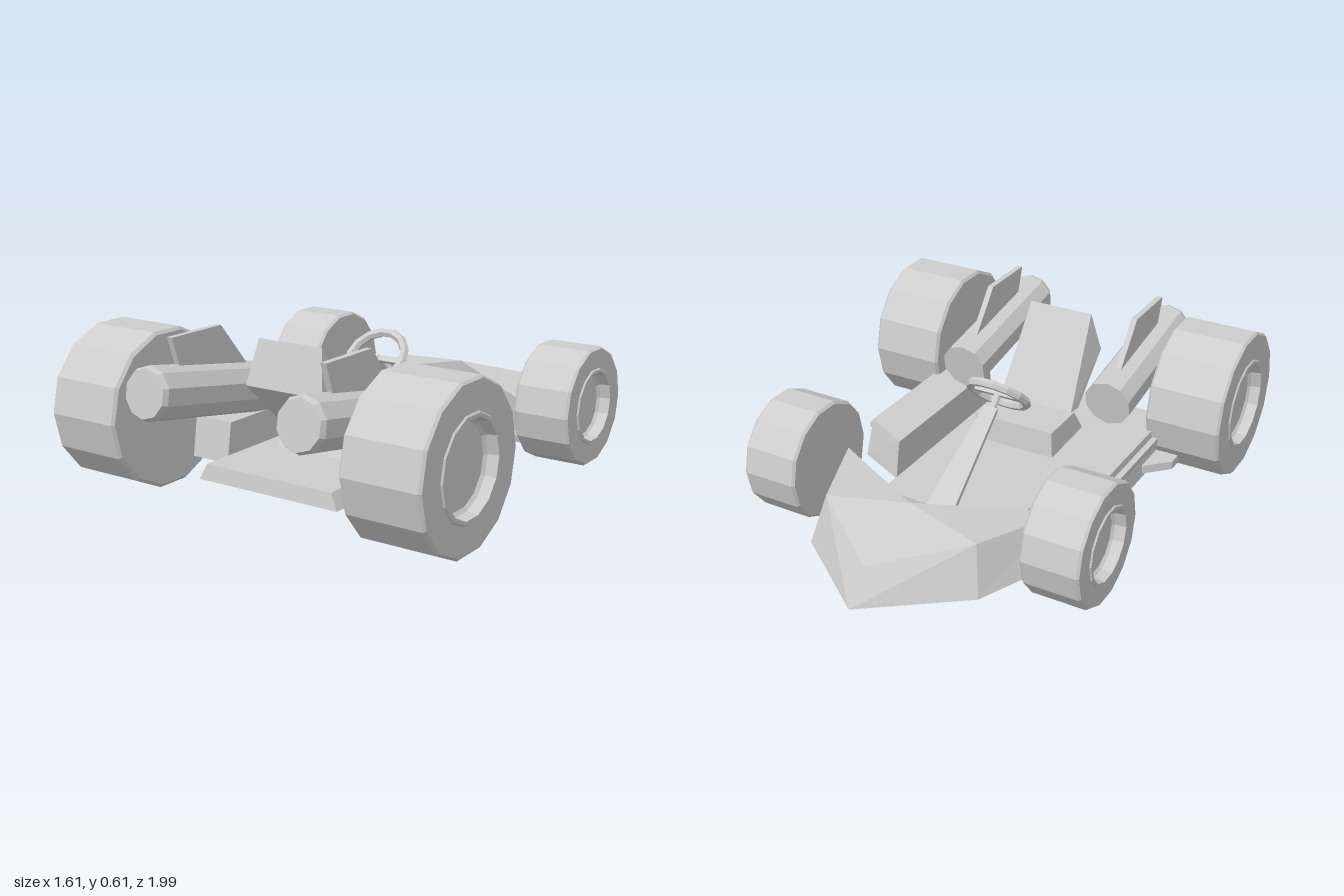
import * as THREE from 'three';
import { ConvexGeometry } from 'three/addons/geometries/ConvexGeometry.js';

export function createModel() {
  const model = new THREE.Group();
  model.name = 'openWheelKart';
  const grey = new THREE.MeshStandardMaterial({ color: 0xcccccc, flatShading: true, side: THREE.DoubleSide });
  grey.name = 'bodyGrey';

  const add = (name, geometry, parent = model) => {
    const mesh = new THREE.Mesh(geometry, grey);
    mesh.name = name;
    parent.add(mesh);
    return mesh;
  };
  const v = (p, s = 1) => new THREE.Vector3(p[0] * s, p[1], p[2]);
  // Convex solid from corner points, on one side or on both sides of the centre line
  const solid = (name, pts, sides) => add(name, new ConvexGeometry(sides.flatMap(s => pts.map(p => v(p, s)))));
  const BOTH = [1, -1];

  // Floor pan with sloping flanks
  solid('floorPan', [[0.31, 0.07, -0.37], [0.28, 0.13, -0.37], [0.31, 0.07, 0.74], [0.28, 0.13, 0.73]], BOTH);

  // Nose: low base plate under a faceted shell with a V-shaped opening
  const outline = [[0, -1], [0.36, -0.73], [0.48, -0.45], [0.48, -0.31]];
  solid('noseBase', outline.flatMap(([x, z]) => [[x, 0.07, z], [x * 0.97, 0.1, z * 0.97]]), BOTH);
  const b = outline.map(([x, z]) => [x, 0.07, z]);
  const top = [[0, 0.19, -0.9], [0.32, 0.255, -0.67], [0.475, 0.23, -0.31]];
  const peak = [0, 0.285, -0.6], peakLow = [0, 0.1, -0.6];
  const faces = [
    [b[0], top[0], top[1]], [b[0], top[1], b[1]],
    [b[1], top[1], top[2]], [b[1], top[2], b[2]], [b[2], top[2], b[3]],
    [top[0], peak, top[1]], [top[1], peak, top[2]],
    [peak, peakLow, b[3]], [peak, b[3], top[2]],
  ];
  const shell = new THREE.BufferGeometry().setFromPoints(
    BOTH.flatMap(s => faces.flatMap(f => (s > 0 ? f : [...f].reverse()).map(p => v(p, s)))));
  shell.computeVertexNormals();
  add('noseShell', shell);

  // Seat: cushion and raked backrest
  solid('seatCushion', [[0.185, 0.13, 0.165], [0.175, 0.235, 0.175], [0.175, 0.235, 0.38], [0.185, 0.14, 0.44]], BOTH);
  solid('seatBack', [[0.165, 0.235, 0.37], [0.14, 0.59, 0.585], [0.17, 0.42, 0.63], [0.17, 0.235, 0.43]], BOTH);

  // Steering column cover
  solid('columnCover', [[0.03, 0.4, -0.01], [0.03, 0.38, -0.01], [0.065, 0.1, -0.48], [0.065, 0.09, -0.46]], BOTH);

  // Steering wheel, spoke, hub and shaft
  const steering = new THREE.Group();
  steering.name = 'steering';
  steering.position.set(0, 0.428, 0.05);
  steering.rotation.x = -Math.PI / 4;
  model.add(steering);
  add('steeringRim', new THREE.TorusGeometry(0.12, 0.018, 6, 14), steering);
  add('steeringSpoke', new THREE.BoxGeometry(0.22, 0.025, 0.015), steering);
  const shaft = add('steeringShaft', new THREE.CylinderGeometry(0.015, 0.015, 0.2, 8), steering);
  shaft.rotation.x = Math.PI / 2;
  shaft.position.z = -0.09;

  // Wheel: tyre, raised rim lip and recessed hub in one profile; outer face at +y before turning
  const addWheel = (name, side, x, z, r, width, rim) => {
    const h = width / 2;
    const profile = [
      [0, -h], [r * 0.96, -h], [r, -h + 0.01], [r, h - 0.01], [r * 0.97, h],
      [rim, h], [rim * 0.97, h + 0.006], [rim * 0.9, h + 0.006],
      [rim * 0.87, h - 0.035], [rim * 0.8, h - 0.045], [0, h - 0.045],
    ].map(p => new THREE.Vector2(...p));
    const wheel = add(name, new THREE.LatheGeometry(profile, 14));
    wheel.rotation.z = -side * Math.PI / 2;
    wheel.position.set(side * x, r * 0.985, z);
  };

  for (const side of BOTH) {
    const label = side > 0 ? 'left' : 'right';
    addWheel(label + 'BroadWheel', side, 0.645, 0.68, 0.304, 0.31, 0.19);
    addWheel(label + 'NarrowWheel', side, 0.594, -0.425, 0.237, 0.23, 0.153);

    // Side pod with slanted ends
    solid(label + 'SidePod', [
      [0.32, 0.08, -0.21], [0.53, 0.08, -0.11], [0.53, 0.08, 0.57], [0.32, 0.08, 0.57],
      [0.32, 0.235, -0.18], [0.515, 0.235, -0.075], [0.515, 0.235, 0.545], [0.32, 0.235, 0.545],
    ], [side]);
    // Rail along the pod and low fin before the broad wheel
    const rail = add(label + 'PodRail', new THREE.BoxGeometry(0.025, 0.022, 0.5));
    rail.position.set(side * 0.53, 0.195, 0.19);
    solid(label + 'PodFin', [[0.5, 0.29], [0.53, 0.29], [0.62, 0.38], [0.62, 0.47], [0.5, 0.47]]
      .flatMap(([x, z]) => [[x, 0.095, z], [x, 0.13, z]]), [side]);

    // Tilted engine barrel with a chamfered end cap
    const barrel = [[0, -0.32], [0.1, -0.32], [0.1, 0.295], [0.09, 0.315], [0, 0.315]].map(p => new THREE.Vector2(...p));
    const engine = add(label + 'EngineBarrel', new THREE.LatheGeometry(barrel, 10));
    engine.rotation.x = Math.PI / 2 - 0.17;
    engine.position.set(side * 0.335, 0.387, 0.665);
    // Upright fin on the barrel
    solid(label + 'EngineFin', [[0.84, 0.615], [0.58, 0.615], [0.42, 0.42], [0.8, 0.49]]
      .flatMap(([z, y]) => [[0.323, y, z], [0.347, y, z]]), [side]);
  }
  return model;
}
